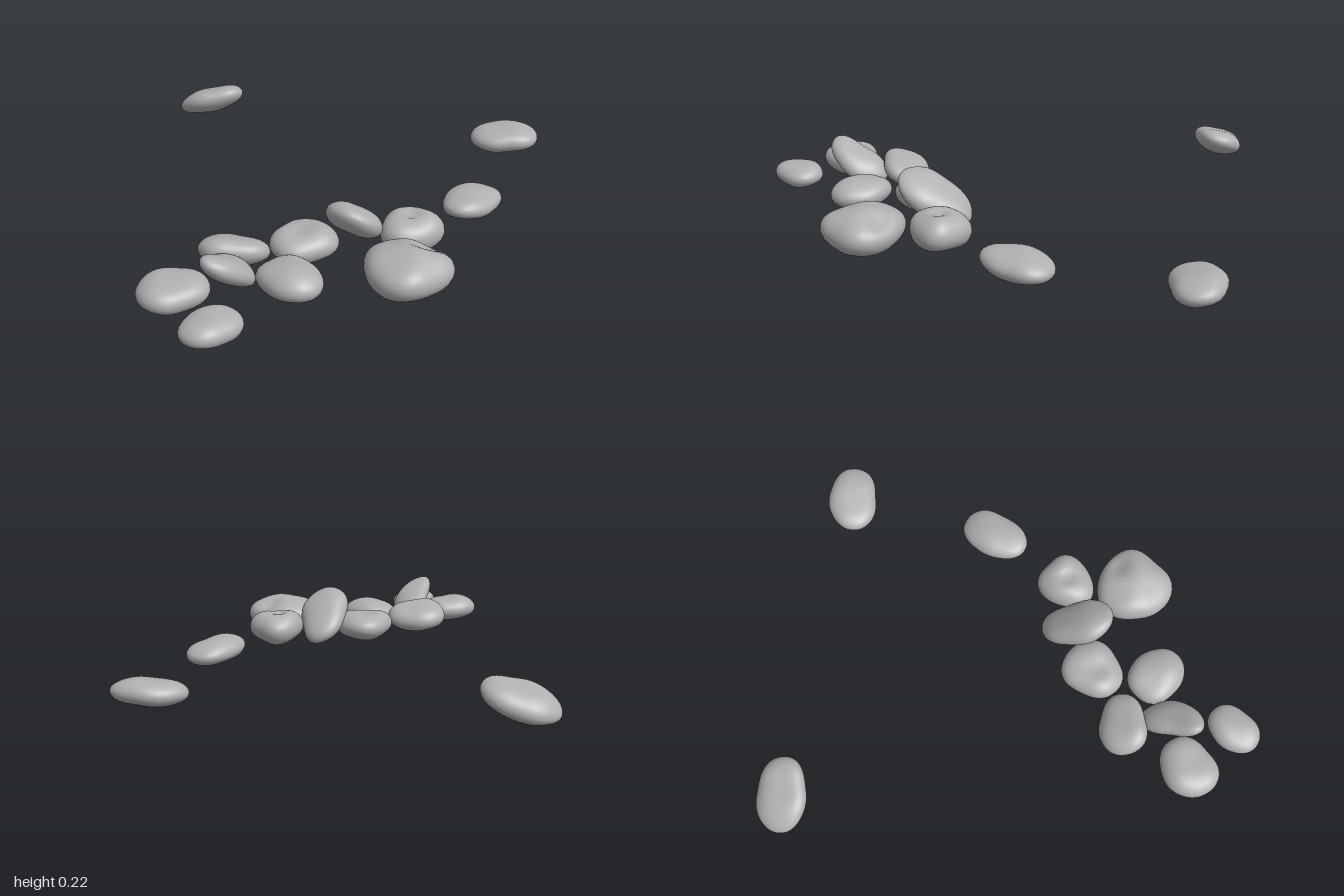
import * as THREE from 'three';
import { mergeVertices } from 'three/addons/utils/BufferGeometryUtils.js';

const AROUND = 40, RINGS = 20;

// Plan outline: a rounded oval (half sizes a, b turned by yaw) with three soft
// corners, one of them pointing towards the angle "corner" (degrees, +x to +z).
function outlinePoint(angle, { a, b, yaw = 0, lobe = 0.03, corner = 0 }, seed) {
  const soft = (v) => Math.sign(v) * Math.pow(Math.abs(v), 0.92);
  const turn = THREE.MathUtils.degToRad(yaw);
  const u = a * soft(Math.cos(angle)), w = b * soft(Math.sin(angle));
  const p = new THREE.Vector2(u, w).rotateAround(new THREE.Vector2(), turn);
  const heading = Math.atan2(p.y, p.x);
  const corners = lobe * Math.cos(3 * (heading - THREE.MathUtils.degToRad(corner)));
  return p.multiplyScalar(1 + corners + 0.012 * Math.cos(5 * heading + seed));
}

// Rings shrink from the outline to the centre, above and below
function stoneGeometry(spec, seed) {
  const { x, z, y, h, tiltX = 0, tiltZ = 0, dent } = spec;
  const pos = [], index = [];
  for (let j = 0; j <= RINGS; j++) {
    const lat = (j / RINGS - 0.5) * Math.PI;
    const r = j === 0 || j === RINGS ? 0 : Math.pow(Math.cos(lat), 0.75);
    const s = Math.sin(lat);
    for (let i = 0; i < AROUND; i++) {
      const p = outlinePoint((i / AROUND) * Math.PI * 2, spec, seed).multiplyScalar(r);
      // Broad worn bumps, then tilt
      const bump = 0.1 * Math.sin(p.x * 27 + seed * 1.7) * Math.cos(p.y * 24 + seed * 2.3);
      let v = y + h * (s + bump * (0.4 + 0.6 * Math.abs(s))) + tiltX * p.x + tiltZ * p.y;
      // Soft hollow in the top
      if (dent) {
        const d = Math.hypot(p.x - dent.x, p.y - dent.z) / dent.size;
        v -= Math.max(s, 0) * dent.depth * Math.exp(-d * d);
      }
      pos.push(x + p.x, Math.max(v, 0), z + p.y);
      const n = (i + 1) % AROUND;
      const k = j * AROUND + i, l = j * AROUND + n;
      if (j > 0 && j < RINGS) index.push(k, k + AROUND, l);
      if (j < RINGS - 1) index.push(l, k + AROUND, l + AROUND);
    }
  }
  const shell = new THREE.BufferGeometry();
  shell.setAttribute('position', new THREE.Float32BufferAttribute(pos, 3));
  shell.setIndex(index);
  const geometry = mergeVertices(shell, 1e-5);
  geometry.computeVertexNormals();
  return geometry;
}

export function createModel() {
  const group = new THREE.Group();
  group.name = 'scatteredStones';
  const grey = new THREE.MeshStandardMaterial({ color: 0xb0b0b0 });
  grey.name = 'stoneGrey';

  const addStone = (name, spec) => {
    const mesh = new THREE.Mesh(stoneGeometry(spec, group.children.length + 1), grey);
    mesh.name = name;
    group.add(mesh);
  };

  // Left cluster
  addStone('leftBackStone', { x: -0.863, z: 0.355, a: 0.122, b: 0.104, yaw: 15, lobe: 0.04, corner: -90, y: 0.06, h: 0.053 });
  addStone('leftFrontStone', { x: -0.888, z: 0.597, a: 0.108, b: 0.083, corner: 30, lobe: 0.02, y: 0.054, h: 0.045 });
  addStone('leftLeaningStone', { x: -0.695, z: 0.442, a: 0.115, b: 0.075, yaw: -25, lobe: 0.08, corner: 180, y: 0.112, h: 0.05, tiltX: -0.55 });
  addStone('backSlantedStone', { x: -0.575, z: 0.3, a: 0.124, b: 0.088, yaw: 45, lobe: 0.05, corner: 50, y: 0.08, h: 0.052, tiltX: -0.2, tiltZ: 0.15 });
  addStone('ovalStone', { x: -0.53, z: 0.552, a: 0.1, b: 0.121, lobe: 0.02, corner: 100, y: 0.062, h: 0.054 });

  // Middle cluster
  addStone('middleStone', { x: -0.335, z: 0.395, a: 0.123, b: 0.11, lobe: 0.05, corner: 180, y: 0.065, h: 0.057,
    dent: { x: -0.02, z: 0, size: 0.04, depth: 0.012 } });
  addStone('middleLeaningStone', { x: -0.175, z: 0.48, a: 0.134, b: 0.097, yaw: -45, lobe: 0.05, corner: 85, y: 0.125, h: 0.06, tiltX: -0.55, tiltZ: 0.15 });
  addStone('largeFrontStone', { x: -0.215, z: 0.772, a: 0.145, b: 0.148, lobe: 0.06, corner: -85, y: 0.077, h: 0.075,
    dent: { x: 0.09, z: 0, size: 0.045, depth: 0.025 } });
  addStone('dimpledStone', { x: -0.012, z: 0.595, a: 0.113, b: 0.103, lobe: 0.07, corner: -62, y: 0.078, h: 0.068,
    dent: { x: 0, z: -0.005, size: 0.025, depth: 0.02 } });

  // Outlying stones
  addStone('longStone', { x: 0.35, z: 0.557, a: 0.14, b: 0.093, yaw: -12, lobe: 0.02, corner: 150, y: 0.056, h: 0.046, tiltX: -0.06 });
  addStone('rightStone', { x: 0.883, z: 0.262, a: 0.138, b: 0.097, yaw: 47, corner: 65, y: 0.063, h: 0.048, tiltX: 0.08 });
  addStone('backStone', { x: 0.157, z: -0.803, a: 0.138, b: 0.097, yaw: 48, lobe: 0.02, corner: 50, y: 0.095, h: 0.053, tiltZ: 0.35 });
  return group;
}
